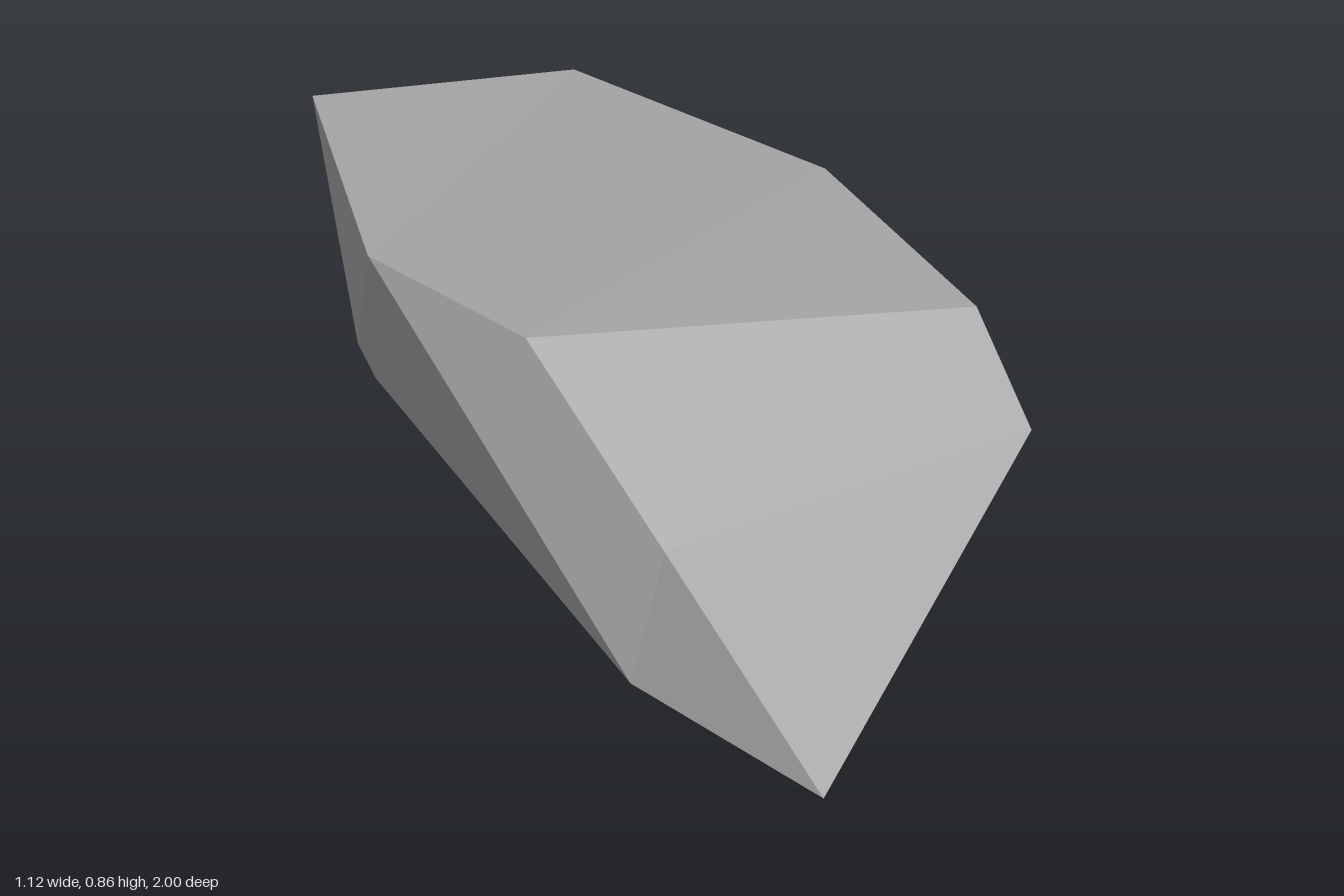
import * as THREE from 'three';

// Corner points of the boulder
const P = {
  backPeak: [-0.26, 0.86, -1.0],
  backShoulder: [0.335, 0.81, -0.69],
  topLeft: [0.52, 0.74, 0.0],
  frontBrow: [0.45, 0.635, 0.55],
  topRight: [-0.47, 0.73, -0.02],
  backRight: [-0.54, 0.77, -0.48],
  tip: [-0.555, 0.035, 1.0],
  frontLow: [0.395, 0.422, 0.78],
  sideBulge: [0.56, 0.46, -0.53],
  sideLow: [0.54, 0.33, -0.525],
  underEdge: [0.43, 0.352, 0.4],
  backFoot: [-0.22, 0.036, -0.88],
  frontFoot: [-0.56, 0.0, 0.4],
  notch: [-0.475, 0.36, 0.43],
  backHeel: [-0.25, 0.15, -0.905],
};

// Facets, corners counter-clockwise seen from outside; each is fanned from its first corner
const FACETS = [
  // top
  ['backRight', 'topRight', 'topLeft', 'backShoulder', 'backPeak'],
  ['topRight', 'frontBrow', 'topLeft'],
  // front slope
  ['notch', 'tip', 'frontLow', 'frontBrow', 'topRight'],
  // +x side
  ['topLeft', 'frontBrow', 'frontLow', 'underEdge', 'sideLow', 'sideBulge'],
  ['backShoulder', 'topLeft', 'sideBulge'],
  // underside
  ['tip', 'frontFoot', 'underEdge', 'frontLow'],
  ['frontFoot', 'backFoot', 'sideLow', 'underEdge'],
  // back
  ['backPeak', 'backShoulder', 'sideBulge', 'sideLow', 'backFoot', 'backHeel'],
  ['backPeak', 'backHeel', 'backRight'],
  // -x side
  ['backRight', 'backHeel', 'backFoot', 'frontFoot'],
  ['backRight', 'frontFoot', 'notch', 'topRight'],
  ['frontFoot', 'tip', 'notch'],
];

export function createModel() {
  const group = new THREE.Group();
  group.name = 'rock';

  const stone = new THREE.MeshStandardMaterial({ color: 0xa0a0a0 });
  stone.name = 'stone grey';

  const positions = [];
  for (const facet of FACETS) {
    for (let i = 1; i < facet.length - 1; i++) {
      positions.push(...P[facet[0]], ...P[facet[i]], ...P[facet[i + 1]]);
    }
  }
  // Unshared corners give flat facet normals
  const geometry = new THREE.BufferGeometry();
  geometry.setAttribute('position', new THREE.Float32BufferAttribute(positions, 3));
  geometry.computeVertexNormals();

  const boulder = new THREE.Mesh(geometry, stone);
  boulder.name = 'boulder';
  group.add(boulder);
  return group;
}
